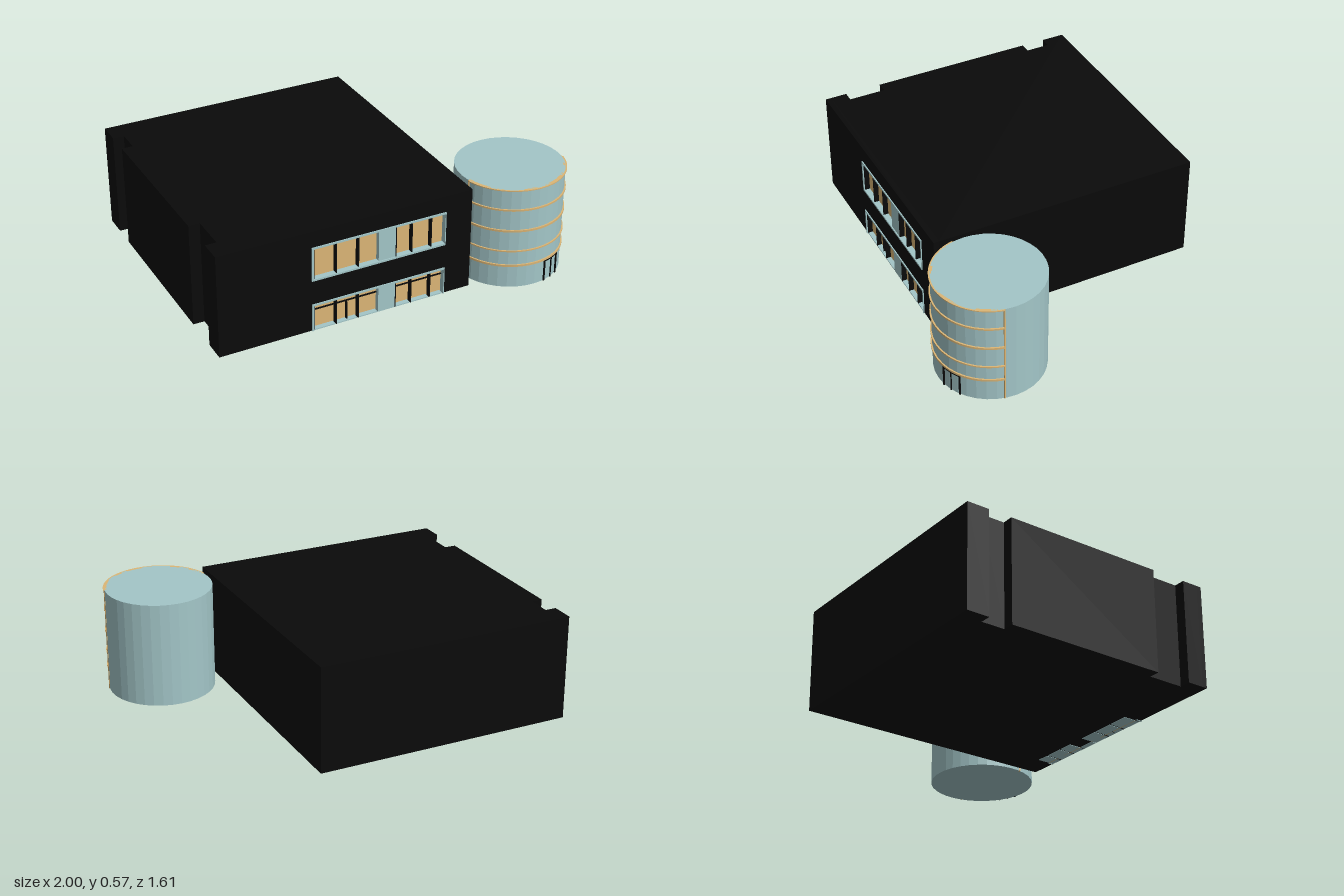
import * as THREE from 'three';

const mat = (color, flat = false) => new THREE.MeshStandardMaterial({ color, flatShading: flat });
const BLACK = mat(0x0a0a0a), GLASS = mat(0xa3c6c8), GLASS_FLAT = mat(0xa3c6c8, true), TAN = mat(0xdcb676);

const H = 0.57, FRONT = 0.66, RECESS = 0.03;

function add(parent, name, geometry, material) {
  const mesh = new THREE.Mesh(geometry, material);
  mesh.name = name;
  parent.add(mesh);
  return mesh;
}

// box given by its minimum and maximum corners
function box(parent, name, x0, x1, y0, y1, z0, z1, material) {
  const mesh = add(parent, name, new THREE.BoxGeometry(x1 - x0, y1 - y0, z1 - z0), material);
  mesh.position.set((x0 + x1) / 2, (y0 + y1) / 2, (z0 + z1) / 2);
  return mesh;
}

const polygon = pts => new THREE.Shape(pts.map(([x, y]) => new THREE.Vector2(x, y)));

// extrudes a plan drawn in x and z downwards from the height top
function planExtrude(shape, top, depth, curveSegments = 12) {
  const g = new THREE.ExtrudeGeometry(shape, { depth, bevelEnabled: false, curveSegments });
  return g.rotateX(Math.PI / 2).translate(0, top, 0);
}

function createHall() {
  const hall = new THREE.Group();
  hall.name = 'hall';

  // main block with two full-height notches in its right side
  const z1 = FRONT - RECESS;
  add(hall, 'mainBlock', planExtrude(polygon([
    [-1, -0.805], [0.4, -0.805], [0.4, z1], [-1, z1],
    [-1, 0.54], [-0.94, 0.54], [-0.94, 0.34], [-1, 0.34],
    [-1, -0.55], [-0.94, -0.55], [-0.94, -0.68], [-1, -0.68],
  ]), H, H - 0.002), BLACK);

  // front wall with an upper opening and a lower one that reaches the ground
  const wall = polygon([
    [-1, 0.002], [-0.5, 0.002], [-0.5, 0.155], [0.25, 0.155], [0.25, 0.002],
    [0.4, 0.002], [0.4, H], [-1, H],
  ]);
  wall.holes.push(polygon([[-0.5, 0.29], [-0.5, 0.48], [0.25, 0.48], [0.25, 0.29]]));
  add(hall, 'frontWall', new THREE.ExtrudeGeometry(wall, { depth: RECESS, bevelEnabled: false })
    .translate(0, 0, z1), BLACK);

  hall.add(createWindowBand('upperWindows', 0.29, 0.48, false));
  hall.add(createWindowBand('lowerWindows', 0, 0.155, true));
  return hall;
}

function createWindowBand(name, y0, y1, ground) {
  const band = new THREE.Group();
  band.name = name;
  const back = FRONT - RECESS, front = FRONT + 0.006, t = 0.01;
  const low = ground ? 0 : y0 + t, high = y1 - t;

  // surround and central pier
  box(band, 'frameLeft', 0.25 - t / 2, 0.25, y0, y1, back, front, GLASS);
  box(band, 'frameRight', -0.5, -0.5 + t, y0, y1, back, front, GLASS);
  box(band, 'frameTop', -0.5, 0.25, high, y1, back, front, GLASS);
  if (!ground) box(band, 'sill', -0.5, 0.25, y0, low, back, front, GLASS);
  box(band, 'pier', -0.13, -0.035, y0, y1, back, FRONT, GLASS);

  // recessed panes in two bays, split by dark mullions
  const bays = [[-0.49, -0.367, -0.245, -0.13], [-0.035, 0.055, 0.165, 0.245]];
  for (const edges of bays) {
    box(band, 'panes', edges[0], edges[3], low, high, back, back + 0.004, TAN);
    edges.forEach((x, i) => {
      if (i < 3) box(band, 'mullion', x, x + 0.006, low, high, back, FRONT, BLACK);
      if (ground && i < 3) {
        box(band, 'floorPanel', x + 0.004, edges[i + 1] - 0.004, 0, 0.006, 0.56, FRONT, GLASS);
      }
    });
    if (ground) box(band, 'transom', edges[0], edges[3], 0.106, 0.111, back, back + 0.012, BLACK);
  }
  if (ground) {
    box(band, 'doorPost', -0.304, -0.299, 0, 0.106, back, back + 0.02, BLACK);
  }
  return band;
}

function createTower() {
  const tower = new THREE.Group();
  tower.name = 'tower';
  tower.position.set(0.712, 0, 0.512);
  const r = 0.286, end = 0.21;

  add(tower, 'drum', new THREE.CylinderGeometry(r, r, H, 36).translate(0, H / 2, 0), GLASS_FLAT);

  // thin ledges round the front half
  const ledge = new THREE.Shape();
  ledge.absarc(0, 0, 0.293, end, Math.PI - end, false);
  ledge.absarc(0, 0, r - 0.012, Math.PI - end, end, true);
  for (const [top, thick] of [[0.135, 0.011], [0.219, 0.007], [0.34, 0.011], [0.46, 0.009], [H, 0.005]]) {
    add(tower, 'ledge', planExtrude(ledge, top, thick, 32), TAN);
  }

  // upright strips where the ledges end
  for (const side of [-1, 1]) {
    const strip = add(tower, 'uprightStrip', new THREE.BoxGeometry(0.012, H, 0.008), TAN);
    strip.position.set(side * (r - 0.003) * Math.cos(end), H / 2, r * Math.sin(end));
    strip.rotation.y = side * end;
  }

  // doorway following the curve of the drum
  const a0 = Math.asin(0.06 / r), a1 = Math.asin(0.155 / r);
  for (const [a, w] of [[a0, 0.008], [(a0 + a1) / 2, 0.003], [a1, 0.008]]) {
    const post = add(tower, 'doorPost', new THREE.BoxGeometry(w, 0.12, 0.012), BLACK);
    post.position.set(r * Math.sin(a), 0.06, r * Math.cos(a));
    post.rotation.y = a;
  }
  const lintel = new THREE.Shape();
  lintel.absarc(0, 0, r + 0.006, Math.PI / 2 - a1, Math.PI / 2 - a0, false);
  lintel.absarc(0, 0, r - 0.01, Math.PI / 2 - a0, Math.PI / 2 - a1, true);
  add(tower, 'doorLintel', planExtrude(lintel, 0.122, 0.006), BLACK);
  return tower;
}

export function createModel() {
  const model = new THREE.Group();
  model.name = 'building';
  model.add(createHall(), createTower());
  return model;
}
